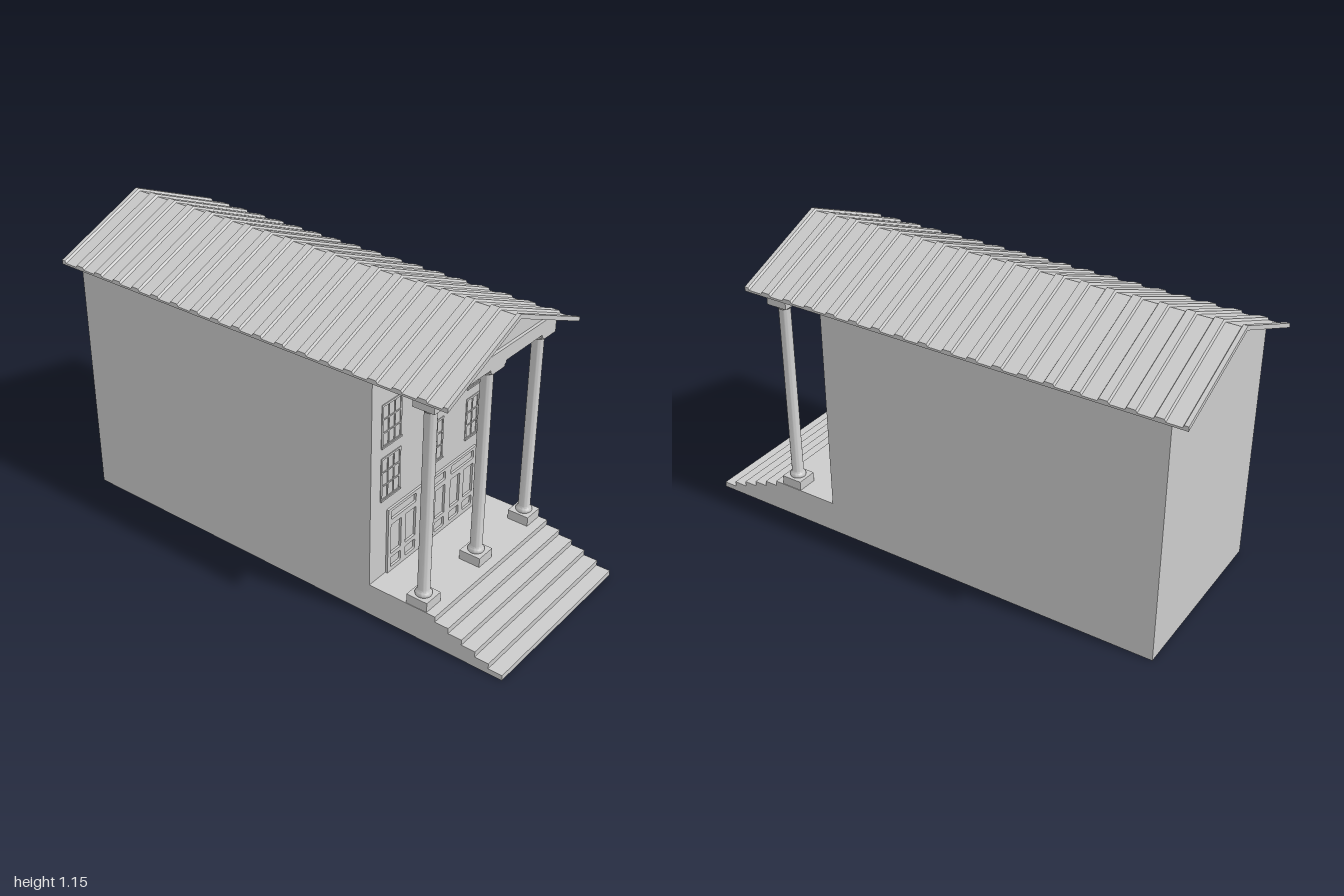
import * as THREE from 'three';
import { toCreasedNormals } from 'three/addons/utils/BufferGeometryUtils.js';

const HALF = 0.366;       // half width of walls, steps and beam
const SLOPE = 0.417;      // roof pitch
const UNDER = 1.129;      // underside of the roof at the ridge
const DECK = 0.128;       // porch floor height
const WALL = 0.441;       // z of the front wall
const BEAM_FRONT = 0.686, BEAM_BACK = 0.6;
const COLUMNS = [-0.323, 0, 0.323];
const COLUMN_Z = 0.643;

const material = new THREE.MeshStandardMaterial({ color: 0xcccccc });

function add(parent, name, geometry, x = 0, y = 0, z = 0) {
  const mesh = new THREE.Mesh(geometry, material);
  mesh.name = name;
  mesh.position.set(x, y, z);
  parent.add(mesh);
  return mesh;
}

function polygon(points) {
  return new THREE.Shape(points.map(([x, y]) => new THREE.Vector2(x, y)));
}

// Front-facing outline extruded from z0 to z1
function extrudeZ(shape, z0, z1) {
  const g = new THREE.ExtrudeGeometry(shape, { depth: z1 - z0, bevelEnabled: false, curveSegments: 5 });
  return g.translate(0, 0, z0);
}

// Side outline (z, y) extruded across x, centred, with a vertex row at x = 0
function extrudeX(shape, half) {
  const g = new THREE.ExtrudeGeometry(shape, { depth: half * 2, steps: 2, bevelEnabled: false });
  return g.translate(0, 0, -half).rotateY(-Math.PI / 2);
}

function rect(x0, y0, x1, y1) {
  return polygon([[x0, y0], [x1, y0], [x1, y1], [x0, y1]]);
}

function roundedRect(x0, y0, x1, y1, r) {
  const s = new THREE.Path();
  s.moveTo(x0 + r, y0);
  s.lineTo(x1 - r, y0).quadraticCurveTo(x1, y0, x1, y0 + r);
  s.lineTo(x1, y1 - r).quadraticCurveTo(x1, y1, x1 - r, y1);
  s.lineTo(x0 + r, y1).quadraticCurveTo(x0, y1, x0, y1 - r);
  s.lineTo(x0, y0 + r).quadraticCurveTo(x0, y0, x0 + r, y0);
  return s;
}

// Standing-seam roof: a ribbed strip folded down on both sides of the ridge
function roofGeometry() {
  const front = 0.757, back = -1, count = 18, panel = UNDER + 0.008, rib = UNDER + 0.017;
  const pitch = (front - back) / count;
  const pts = [[front, UNDER], [front, rib]];
  for (let i = 0; i <= count; i++) {
    const z = front - i * pitch;
    if (i > 0) pts.push([z + 0.021, panel], [z + 0.016, rib]);
    if (i < count) pts.push([z - 0.016, rib], [z - 0.021, panel]);
  }
  pts.push([back, rib], [back, UNDER]);
  const g = extrudeX(polygon(pts), 0.4);
  const p = g.attributes.position;
  for (let i = 0; i < p.count; i++) p.setY(i, p.getY(i) - SLOPE * Math.abs(p.getX(i)));
  g.computeVertexNormals();
  return g;
}

// Beam with curved corbels above each column
function beamGeometry() {
  const s = new THREE.Shape();
  const top = 0.972, bottom = 0.935, shoulder = 0.926, low = 0.914;
  s.moveTo(-HALF, top);
  s.lineTo(-HALF, low);
  COLUMNS.forEach((x, i) => {
    if (i > 0) {
      s.lineTo(x - 0.047, bottom);
      s.lineTo(x - 0.047, shoulder);
      s.quadraticCurveTo(x - 0.04, shoulder, x - 0.038, low);
    }
    if (i < 2) {
      s.lineTo(x + 0.038, low);
      s.quadraticCurveTo(x + 0.04, shoulder, x + 0.047, shoulder);
      s.lineTo(x + 0.047, bottom);
    }
  });
  s.lineTo(HALF, low);
  s.lineTo(HALF, top);
  return extrudeZ(s, BEAM_BACK, BEAM_FRONT);
}

// Round column with moulded base and capital
function columnGeometry() {
  const profile = [
    [0, 0.164], [0.029, 0.164], [0.031, 0.169], [0.031, 0.174], [0.028, 0.18], [0.0245, 0.183],
    [0.0228, 0.19], [0.0225, 0.896], [0.0255, 0.899], [0.0285, 0.902], [0.031, 0.907],
    [0.031, 0.915], [0, 0.915],
  ].map(([r, y]) => new THREE.Vector2(r, y));
  return toCreasedNormals(new THREE.LatheGeometry(profile, 28), 0.7);
}

// Three double doors in one surround: transom, tall and low recessed panels
function doorGeometry() {
  const s = rect(-0.272, DECK, 0.272, 0.398);
  for (const c of [-0.182, 0, 0.182]) {
    s.holes.push(roundedRect(c - 0.073, 0.35, c + 0.073, 0.386, 0.007));
    for (const side of [-1, 1]) {
      const m = c + side * 0.0435;
      s.holes.push(roundedRect(m - 0.03, 0.204, m + 0.03, 0.328, 0.003));
      s.holes.push(roundedRect(m - 0.03, 0.145, m + 0.03, 0.186, 0.007));
    }
  }
  return extrudeZ(s, WALL, WALL + 0.009);
}

// Window frame with glazing bars
function windowGeometry(height) {
  const w = 0.112, border = 0.008, bar = 0.005, cols = 3, rows = 3;
  const s = rect(-w / 2, 0, w / 2, height);
  const pw = (w - 2 * border - (cols - 1) * bar) / cols;
  const ph = (height - 2 * border - (rows - 1) * bar) / rows;
  for (let c = 0; c < cols; c++) {
    for (let r = 0; r < rows; r++) {
      const x = -w / 2 + border + c * (pw + bar);
      const y = border + r * (ph + bar);
      s.holes.push(rect(x, y, x + pw, y + ph));
    }
  }
  return extrudeZ(s, WALL, WALL + 0.003);
}

export function createModel() {
  const model = new THREE.Group();
  model.name = 'porticoBuilding';

  // Main hall with gabled ends
  const eave = UNDER - SLOPE * HALF;
  const hall = polygon([[-HALF, 0], [HALF, 0], [HALF, eave], [0, UNDER], [-HALF, eave]]);
  add(model, 'hall', extrudeZ(hall, -0.93, WALL));

  // Front steps and porch floor
  const steps = [[WALL, 0], [1, 0]];
  for (let i = 0; i < 6; i++) {
    const z = 1 - i * 0.0555, y = (i + 1) * DECK / 6;
    steps.push([z, y], [i < 5 ? z - 0.0555 : WALL, y]);
  }
  add(model, 'stepsAndPorch', extrudeX(polygon(steps), HALF));

  // Roof
  add(model, 'roof', roofGeometry());

  // Pediment: triangular frame with a recessed panel
  const pediment = new THREE.Group();
  pediment.name = 'pediment';
  const frame = polygon([[-HALF, 0.97], [HALF, 0.97], [HALF, eave], [0, UNDER], [-HALF, eave]]);
  const panel = [[-0.3, 0.986], [0.3, 0.986], [0, 1.113]];
  frame.holes.push(polygon(panel));
  add(pediment, 'pedimentFrame', extrudeZ(frame, BEAM_BACK, BEAM_FRONT));
  add(pediment, 'pedimentPanel', extrudeZ(polygon(panel), BEAM_BACK, BEAM_FRONT - 0.012));
  model.add(pediment);

  add(model, 'beam', beamGeometry());

  // Columns on square pedestals
  const column = columnGeometry();
  const pedestal = new THREE.BoxGeometry(0.082, 0.038, 0.086);
  for (const x of COLUMNS) {
    add(model, 'column', column, x, 0, COLUMN_Z);
    add(model, 'pedestal', pedestal, x, DECK + 0.019, COLUMN_Z);
  }

  add(model, 'doors', doorGeometry());

  // Two rows of windows with sills
  for (const [y0, y1] of [[0.45, 0.624], [0.664, 0.834]]) {
    const frameGeometry = windowGeometry(y1 - y0);
    for (const x of [-0.256, 0, 0.256]) {
      add(model, 'window', frameGeometry, x, y0, 0);
      add(model, 'windowSill', new THREE.BoxGeometry(0.114, 0.006, 0.012), x, y0 + 0.003, WALL);
    }
  }
  return model;
}
